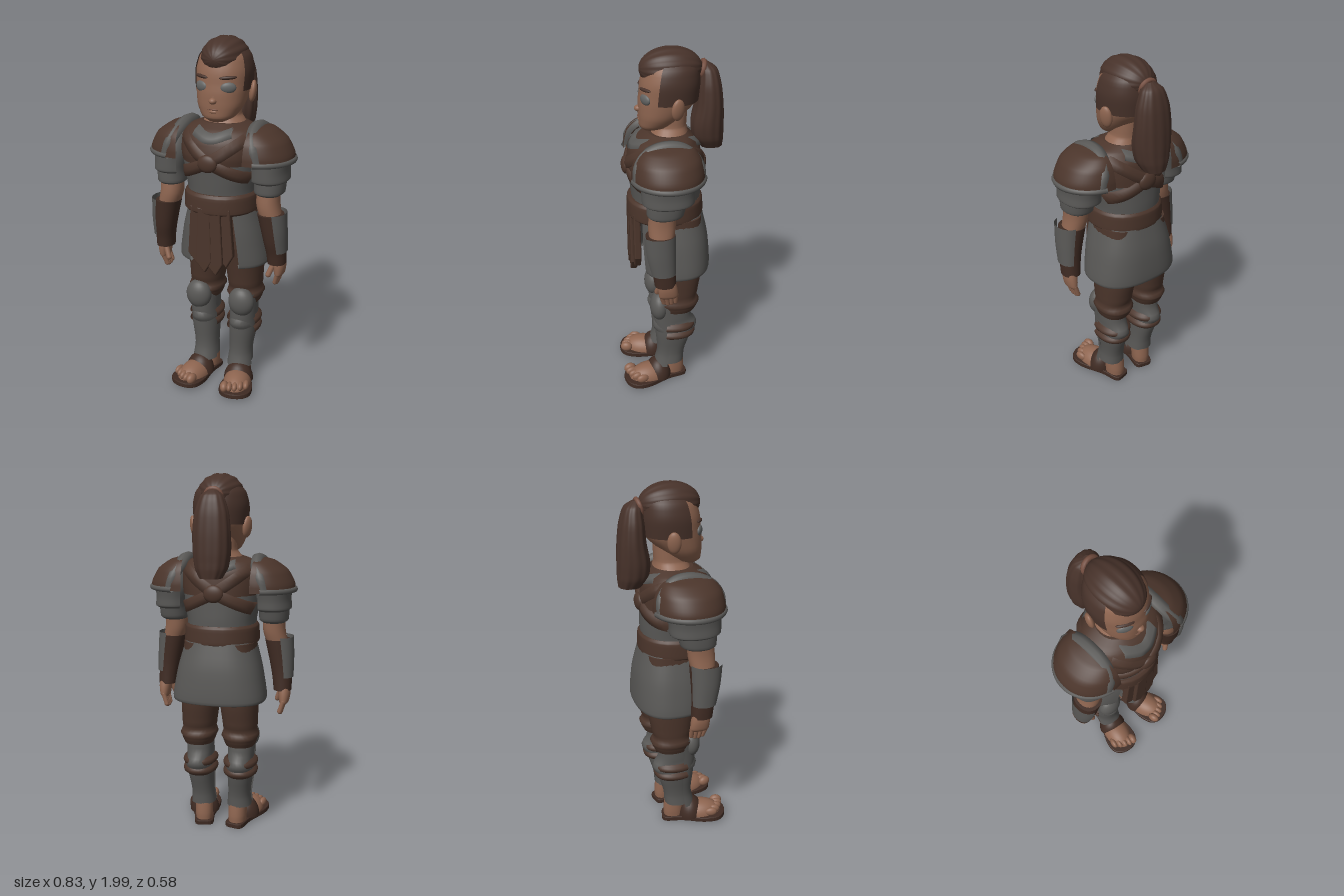
import * as THREE from 'three';

const mat = (name, color) => new THREE.MeshStandardMaterial({ name, color, side: THREE.DoubleSide });
const V = (x, y, z) => new THREE.Vector3(x, y, z);

export function createModel() {
  const skin = mat('skin', 0x8e6550), leather = mat('leather', 0x4b352b), dark = mat('darkLeather', 0x3f2b23);
  const iron = mat('iron', 0x595856), hair = mat('hair', 0x47322a), eyeGrey = mat('eyeGrey', 0x636463), lip = mat('lip', 0x744e40);
  const model = new THREE.Group();

  const add = (parent, name, geo, m) => {
    const mesh = new THREE.Mesh(geo, m);
    mesh.name = name;
    parent.add(mesh);
    return mesh;
  };

  // Grid of rows of points -> smooth surface
  const grid = (rows, closed) => {
    const w = rows[0].length, pos = rows.flat().flatMap(p => [p.x, p.y, p.z]), idx = [];
    for (let i = 0; i < rows.length - 1; i++) for (let j = 0; j < (closed ? w : w - 1); j++) {
      const k = (j + 1) % w, a = i * w + j, b = i * w + k, c = a + w, d = b + w;
      idx.push(a, b, d, a, d, c);
    }
    const g = new THREE.BufferGeometry();
    g.setAttribute('position', new THREE.Float32BufferAttribute(pos, 3));
    g.setIndex(idx);
    g.computeVertexNormals();
    return g;
  };

  // Loft through horizontal superellipse rings [y, cx, cz, rx, rz]; angle 0 is front, PI/2 is +x
  const loft = (rings, { a0 = 0, a1 = Math.PI * 2, n = 2.2, seg = 28, ridge = () => 1 } = {}) => {
    const r = rings[0][0] > rings.at(-1)[0] ? [...rings].reverse() : rings;
    const mid = new THREE.CatmullRomCurve3(r.map(q => V(q[1], q[0], q[2])));
    const rad = new THREE.CatmullRomCurve3(r.map(q => V(q[3], 0, q[4])));
    const closed = a1 - a0 > 6.28, rows = [], steps = (r.length - 1) * 4;
    const pw = v => Math.sign(v) * Math.abs(v) ** (2 / n);
    for (let i = 0; i <= steps; i++) {
      const c = mid.getPoint(i / steps), s = rad.getPoint(i / steps), row = [];
      for (let j = 0; j < (closed ? seg : seg + 1); j++) {
        const a = a0 + (a1 - a0) * j / seg, k = ridge(a);
        row.push(V(c.x + s.x * k * pw(Math.sin(a)), c.y, c.z + s.z * k * pw(Math.cos(a))));
      }
      rows.push(row);
    }
    if (closed) { // end caps with their own edge ring
      const cap = (row, c) => [row.map(() => V(c[1], c[0], c[2])), row.map(p => p.clone())];
      rows.unshift(...cap(rows[0], r[0]));
      rows.push(...cap(rows.at(-1), r.at(-1)).reverse());
    }
    return grid(rows, closed);
  };

  const ball = (parent, name, m, p, s, ry = 0, rz = 0) => {
    const b = add(parent, name, new THREE.SphereGeometry(1, 24, 16), m);
    b.position.set(...p); b.scale.set(...s); b.rotation.set(0, ry, rz);
  };
  const rod = (parent, name, m, a, b, r) => {
    const d = b.clone().sub(a), c = add(parent, name, new THREE.CapsuleGeometry(r, d.length(), 4, 10), m);
    c.position.copy(a).addScaledVector(d, 0.5);
    c.quaternion.setFromUnitVectors(V(0, 1, 0), d.normalize());
  };

  // Torso
  const body = [[1.1, 0, .02, .19, .18], [1.2, 0, .02, .19, .188], [1.3, 0, .025, .205, .192], [1.4, 0, .03, .215, .195],
    [1.48, 0, .025, .215, .18], [1.53, 0, .02, .19, .14], [1.56, 0, .01, .115, .1]];
  add(model, 'vest', loft(body), iron);
  add(model, 'shirtYoke', loft([[1.36, 0, .027, .215, .2], ...body.slice(3).map(q => [q[0] + .003, 0, q[2], q[3] + .006, q[4] + .006])]), leather);
  add(model, 'neck', loft([[1.54, 0, .005, .13, .11], [1.57, 0, 0, .108, .094], [1.6, 0, -.004, .088, .086], [1.68, 0, -.01, .085, .085]]), skin);

  // Band that hugs the torso surface along a path of [x, y]; side is +1 front, -1 back
  const torsoZ = (x, y, side, h) => {
    let i = 0;
    while (i < body.length - 2 && body[i + 1][0] < y) i++;
    const [p, q] = [body[i], body[i + 1]], t = THREE.MathUtils.clamp((y - p[0]) / (q[0] - p[0]), 0, 1);
    const L = k => p[k] + (q[k] - p[k]) * t;
    const u = Math.min(Math.abs(x / L(3)), .97);
    return L(2) + side * (L(4) * (1 - u ** 2.2) ** (1 / 2.2) + h);
  };
  const band = (path, width, side, lift) => {
    const curve = new THREE.CatmullRomCurve3(path.map(([x, y]) => V(x, y, 0))), rows = [];
    for (let i = 0; i <= 24; i++) {
      const p = curve.getPoint(i / 24), t = curve.getTangent(i / 24);
      rows.push([-1, -.85, 0, .85, 1].map((o, k) => {
        const x = p.x - t.y * o * width / 2, y = p.y + t.x * o * width / 2;
        return V(x, y, torsoZ(x, y, side, [-.01, .012, .017, .012, -.01][k] + lift));
      }));
    }
    return grid(rows, false);
  };
  for (const side of [1, -1]) {
    add(model, 'collar', band([[-.105, 1.53], [0, 1.5], [.105, 1.53]], .055, side, .004), iron);
    for (const s of [1, -1])
      add(model, 'crossStrap', band([[s * .185, 1.51], [s * .1, 1.445], [0, 1.38], [-s * .1, 1.33], [-s * .195, 1.285]], .068, side, s > 0 ? .006 : .002), leather);
    ball(model, 'strapBoss', leather, [0, 1.375, torsoZ(0, 1.375, side, .012)], [.055, .048, .024]);
  }

  // Belt, skirt and hanging strips
  add(model, 'belt', loft([[1.085, 0, .025, .195, .195], [1.1, 0, .025, .208, .208], [1.18, 0, .025, .204, .206], [1.197, 0, .024, .192, .194]]), leather);
  add(model, 'skirt', loft([[1.105, 0, 0, .192, .178], [.95, 0, -.015, .235, .196], [.79, 0, -.025, .262, .196], [.77, 0, -.025, .256, .19], [.785, 0, -.025, .236, .172]].reverse(),
    { a0: .5, a1: Math.PI * 2 - .5, n: 2.5, seg: 36 }), iron);
  for (const [x, len, z] of [[-.078, .32, .18], [.078, .32, .18], [-.028, .36, .2], [.028, .37, .196]]) {
    const s = new THREE.Shape();
    s.moveTo(-.03, 0); s.lineTo(.03, 0); s.lineTo(.041, -len + .06); s.lineTo(.006, -len); s.lineTo(-.039, -len + .05);
    const strip = add(model, 'hangingStrip', new THREE.ExtrudeGeometry(s, { depth: .022, bevelThickness: .008, bevelSize: .006, bevelSegments: 2 }), leather);
    strip.position.set(x, 1.12, z);
    strip.rotation.z = x * .4;
  }

  // Head
  const head = new THREE.Group();
  head.name = 'head';
  model.add(head);
  add(head, 'face', loft([[1.575, 0, .1, .04, .037], [1.6, 0, .078, .088, .08], [1.66, 0, .045, .124, .117], [1.74, 0, .008, .141, .152],
    [1.82, 0, -.002, .146, .153], [1.9, 0, -.01, .13, .138], [1.955, 0, -.015, .085, .095], [1.97, 0, -.015, .03, .04]]), skin);
  add(head, 'shavedSides', loft([[1.735, 0, .006, .145, .158], [1.82, 0, -.002, .151, .158], [1.9, 0, -.01, .135, .143], [1.945, 0, -.015, .1, .11]],
    { a0: 1.15, a1: Math.PI * 2 - 1.15 }), hair);
  // swept-back crest with combed ridges
  const crest = new THREE.SphereGeometry(1, 72, 24).rotateX(Math.PI / 2);
  const cp = crest.attributes.position;
  for (let i = 0; i < cp.count; i++) {
    const k = 1 + .02 * Math.cos(14 * Math.atan2(cp.getY(i), cp.getX(i)));
    cp.setXYZ(i, cp.getX(i) * k * .12, cp.getY(i) * k * .105, cp.getZ(i) * .162);
  }
  crest.computeVertexNormals();
  add(head, 'sweptHair', crest, hair).position.set(0, 1.894, -.008);
  add(head, 'ponytail', loft([[1.915, 0, -.185, .02, .02], [1.885, 0, -.2, .06, .045], [1.8, 0, -.208, .09, .064], [1.7, 0, -.21, .1, .074],
    [1.6, 0, -.203, .1, .086], [1.52, 0, -.208, .088, .082], [1.465, 0, -.225, .06, .06]], { seg: 64, ridge: a => 1 + .02 * Math.cos(12 * a) }), hair);
  const tie = add(head, 'hairTie', new THREE.TorusGeometry(.042, .013, 8, 20), lip);
  tie.position.set(0, 1.88, -.168);
  tie.rotation.x = -.3;
  ball(head, 'noseTip', skin, [0, 1.688, .158], [.021, .017, .023]);
  rod(head, 'noseBridge', skin, V(0, 1.695, .152), V(0, 1.765, .142), .013);
  ball(head, 'mouth', lip, [0, 1.645, .155], [.032, .004, .01]);
  ball(head, 'lowerLip', skin, [0, 1.632, .152], [.026, .01, .012]);

  // Paired parts, built on the +x side and mirrored
  for (const s of [1, -1]) {
    const half = new THREE.Group();
    half.name = s > 0 ? 'leftSide' : 'rightSide';
    half.scale.x = s;
    model.add(half);

    ball(half, 'eye', eyeGrey, [.074, 1.757, .131], [.041, .029, .016], .46);
    ball(half, 'eyebrow', hair, [.073, 1.808, .131], [.046, .01, .014], .46, .06);
    ball(half, 'ear', skin, [.148, 1.72, -.025], [.02, .058, .036], .35, -.12);

    // Shoulder armour
    add(half, 'pauldron', loft([[1.38, .2, .035, .206, .19], [1.42, .2, .035, .2, .188], [1.49, .2, .035, .162, .17], [1.54, .2, .032, .09, .125], [1.562, .2, .03, .01, .03]],
      { a0: -.05, a1: Math.PI + .05, n: 2.1 }), leather);
    const rim = [];
    for (let i = 0; i <= 10; i++) {
      const a = .2 + (Math.PI - .4) * i / 10;
      rim.push(V(.2 + .2 * Math.sin(a), 1.387, .035 + .186 * Math.cos(a)));
    }
    add(half, 'pauldronLowerRim', new THREE.TubeGeometry(new THREE.CatmullRomCurve3(rim), 32, .016, 8), iron);
    // broad flat trim arching over the shoulder from front to back
    const arch = new THREE.CatmullRomCurve3([V(.258, 1.385, .21), V(.238, 1.46, .205), V(.215, 1.52, .165), V(.205, 1.555, .1), V(.203, 1.566, .03),
      V(.205, 1.555, -.04), V(.215, 1.52, -.095), V(.238, 1.46, -.135), V(.258, 1.385, -.14)]);
    const trim = [];
    for (let i = 0; i <= 32; i++) {
      const p = arch.getPoint(i / 32), out = V(0, p.y - 1.36, p.z - .035).normalize();
      trim.push([[-.034, -.02], [-.027, .006], [0, .013], [.024, .004], [.032, -.02]].map(([dx, h]) => V(p.x + dx, p.y, p.z).addScaledVector(out, h)));
    }
    add(half, 'pauldronInnerTrim', grid(trim, false), iron);
    add(half, 'upperArmPlate', loft([[1.272, .28, .045, .09, .12], [1.285, .28, .045, .104, .136], [1.33, .278, .045, .102, .138], [1.4, .275, .04, .11, .145]],
      { a0: -.6, a1: Math.PI + .6 }), iron);
    add(half, 'sleeve', loft([[1.2, .285, .065, .062, .078], [1.215, .285, .062, .08, .096], [1.28, .285, .055, .084, .104], [1.38, .27, .04, .1, .12], [1.48, .24, .03, .085, .1]]), iron);

    // Forearm and hand
    add(half, 'forearm', loft([[1.25, .285, .07, .06, .07], [1.15, .285, .08, .062, .072], [1.05, .31, .085, .055, .06], [.84, .343, .07, .036, .042]]), skin);
    add(half, 'bracer', loft([[1.1, .303, .09, .07, .078], [.95, .327, .085, .06, .068], [.87, .335, .075, .053, .06], [.815, .338, .07, .05, .058]]), dark);
    add(half, 'bracerPlate', loft([[1.115, .305, .098, .086, .088], [1, .322, .092, .074, .08], [.89, .336, .08, .06, .067]], { a0: .35, a1: 2.9 }), iron);
    add(half, 'palm', loft([[.86, .345, .066, .034, .042], [.8, .35, .06, .034, .052], [.75, .35, .055, .026, .052], [.735, .348, .055, .015, .044]]), skin);
    for (let i = 0; i < 4; i++)
      rod(half, 'finger', skin, V(.35, .755, .015 + i * .026), V(.332, .686 + Math.abs(i - 1.6) * .007, .015 + i * .021), .0135);
    rod(half, 'thumb', skin, V(.328, .815, .093), V(.303, .75, .11), .0155);

    // Leg
    add(half, 'trouserLeg', loft([[1.1, .1, -.01, .1, .15], [.9, .108, -.02, .106, .15], [.75, .112, -.03, .105, .135], [.62, .118, -.03, .096, .114],
      [.55, .12, -.032, .096, .114], [.51, .12, -.03, .082, .098]]), leather);
    add(half, 'shinGuard', loft([[.58, .12, -.01, .08, .085], [.45, .12, -.012, .074, .1], [.35, .118, -.015, .074, .1], [.2, .108, 0, .064, .074], [.13, .107, .01, .07, .078]]), iron);
    add(half, 'shinPlate', loft([[.58, .128, 0, .078, .1], [.45, .122, 0, .076, .105], [.35, .118, -.005, .079, .103], [.2, .11, .008, .068, .08], [.115, .11, .02, .076, .088]],
      { a0: -1.4, a1: 1.4 }), iron);
    for (const y of [.35, .402])
      add(half, 'calfStrap', loft([[y - .028, .118, -.014, .074, .1], [y - .022, .118, -.014, .081, .106], [y + .022, .118, -.014, .081, .106], [y + .028, .118, -.014, .074, .1]],
        { a0: 1.1, a1: Math.PI * 2 - 1.1 }), leather);
    ball(half, 'kneeCap', iron, [.132, .535, .075], [.076, .087, .055]);

    // Sandalled foot
    const foot = new THREE.Group();
    foot.name = 'foot';
    foot.position.set(.103, .007, 0);
    foot.rotation.set(-.05, .23, 0, 'YXZ');
    half.add(foot);
    const outline = [[.047, -.065], [.056, .04], [.088, .16], [.086, .24], [.052, .28]];
    const pts = [[0, -.078], ...outline, [0, .292], ...outline.map(([x, z]) => [-x, z]).reverse()].map(p => new THREE.Vector2(...p));
    const sole = new THREE.Shape(new THREE.SplineCurve([...pts, pts[0]]).getPoints(48));
    const soleGeo = new THREE.ExtrudeGeometry(sole, { depth: .018, bevelThickness: .005, bevelSize: .004, bevelSegments: 2 });
    add(foot, 'sole', soleGeo.rotateX(Math.PI / 2).translate(0, .025, 0), dark);
    add(foot, 'ankle', loft([[.025, 0, -.012, .048, .058], [.07, 0, -.01, .051, .06], [.17, 0, 0, .05, .055]]), skin);
    const dome = new THREE.SphereGeometry(1, 28, 10, 0, Math.PI * 2, 0, Math.PI / 2);
    const instep = add(foot, 'instep', dome, skin);
    instep.position.set(0, .025, .14);
    instep.scale.set(.08, .078, .13);
    const upper = add(foot, 'sandalUpper', dome, dark);
    upper.position.set(0, .025, .09);
    upper.scale.set(.086, .108, .076);
    for (let i = 0; i < 5; i++)
      ball(foot, 'toe', skin, [-.058 + i * .03, .052, .25 - i * i * .0025], [i ? .018 : .024, i ? .026 : .031, .036]);
  }
  return model;
}
